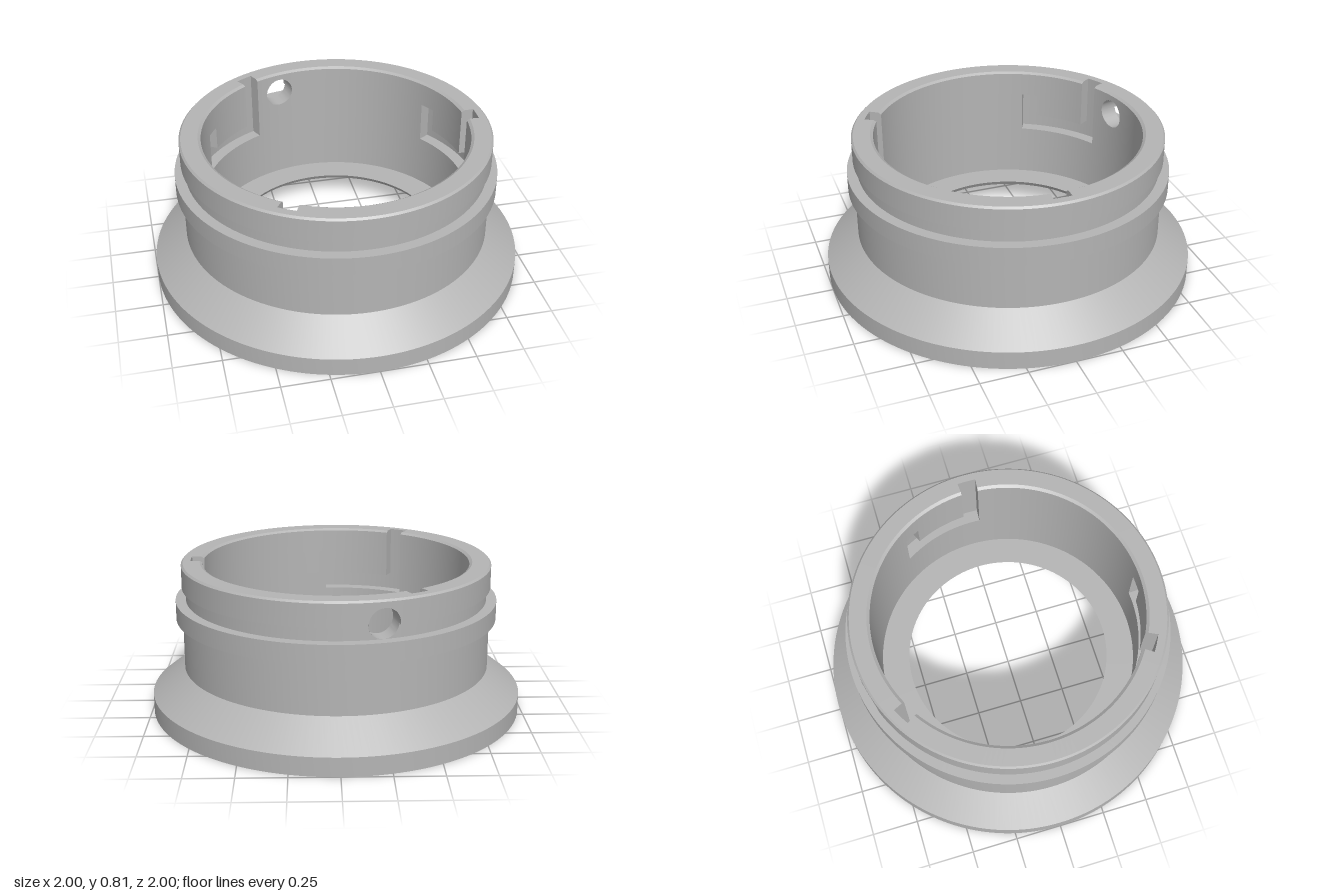
import * as THREE from 'three';
import { toCreasedNormals } from 'three/addons/utils/BufferGeometryUtils.js';

const RAD = Math.PI / 180;
const INNER = 0.71, POCKET = 0.775;           // bore radius, bayonet pocket radius
const HALF = 3.6, TURN = 30;                  // slot half width and twist, degrees
const HOLE = { angle: 255, y: 0.69, r: 0.08 };

const P = (r, a, y) => [r * Math.cos(a * RAD), y, r * Math.sin(a * RAD)];

// Collects quads for one part.
class Quads {
  constructor() { this.pos = []; }
  add(a, b, c, d) { this.pos.push(...a, ...b, ...c, ...a, ...c, ...d); }
  geometry() {
    const g = new THREE.BufferGeometry();
    g.setAttribute('position', new THREE.Float32BufferAttribute(this.pos, 3));
    return toCreasedNormals(g, 0.45);
  }
}

// Half height of the side hole where it meets radius r at angle a.
function holeHalf(r, a) {
  const d = a - HOLE.angle;
  if (Math.abs(d) > 10) return 0;
  const u = r * Math.sin(d * RAD);
  return Math.sqrt(Math.max(0, HOLE.r ** 2 - u ** 2));
}

// Strip of cylindrical wall, cut away where the side hole passes through.
function wall(q, a0, a1, y0, y1, r0, r1, outward) {
  const put = (b0, b1, t0, t1) => {
    if (t0 - b0 < 1e-6 && t1 - b1 < 1e-6) return;
    const c = [P(r0, a0, b0), P(r0, a1, b1), P(r1, a1, t1), P(r1, a0, t0)];
    if (outward) c.reverse();
    q.add(...c);
  };
  const h0 = holeHalf(r0, a0), h1 = holeHalf(r0, a1);
  if (h0 === 0 && h1 === 0) return put(y0, y0, y1, y1);
  const clamp = (y) => Math.min(y1, Math.max(y0, y));
  put(y0, y0, clamp(HOLE.y - h0), clamp(HOLE.y - h1));
  put(clamp(HOLE.y + h0), clamp(HOLE.y + h1), y1, y1);
}

// Column angles: breaks at every slot edge, finer around the hole.
function columnAngles() {
  const out = [];
  for (let k = 0; k < 3; k++) {
    const breaks = [-60, -TURN - HALF, -TURN + HALF, -HALF, HALF, 8, 22, 60];
    for (let i = 0; i + 1 < breaks.length; i++) {
      const step = k === 2 && breaks[i] === 8 ? 0.25 : 2;
      const n = Math.ceil((breaks[i + 1] - breaks[i]) / step);
      for (let j = 0; j < n; j++) {
        out.push(120 * k + breaks[i] + (breaks[i + 1] - breaks[i]) * j / n);
      }
    }
  }
  out.push(300);
  return out;
}

// Bore rows from floor to rim; each returns [bottom radius, top radius].
const ROWS = [0.16, 0.445, 0.54, 0.67, 0.8, 0.81];
function boreRadii(a, row) {
  const rel = ((a + 180) % 120) - 60;
  const entry = Math.abs(rel) < HALF;
  const notch = Math.abs(rel + TURN) < HALF;
  const channel = rel > -TURN - HALF && rel < HALF;
  if (row === 4) return entry ? [POCKET, POCKET] : [INNER, 0.725];
  const open = (row === 1 && channel) || (row === 2 && (notch || entry)) || (row === 3 && entry);
  return open ? [POCKET, POCKET] : [INNER, INNER];
}

export function createModel() {
  const group = new THREE.Group();
  const grey = new THREE.MeshStandardMaterial({ color: 0xb4b4b4, side: THREE.DoubleSide });
  grey.name = 'plain grey';
  const add = (name, geometry) => {
    const mesh = new THREE.Mesh(geometry, grey);
    mesh.name = name;
    group.add(mesh);
  };

  // Floor, hollow flared skirt, barrel and raised outer ring
  const profile = [
    [INNER, 0.16], [0.56, 0.16], [0.575, 0.135], [0.828, 0.135], [1, 0], [1, 0.1],
    [0.825, 0.237], [0.825, 0.51], [0.86, 0.51], [0.86, 0.61], [0.805, 0.61],
  ].map(([r, y]) => new THREE.Vector2(r, y));
  add('flaredBase', toCreasedNormals(new THREE.LatheGeometry(profile, 180), 0.45));

  const bore = new Quads(), collar = new Quads(), rim = new Quads(), port = new Quads();
  const angles = columnAngles();
  for (let i = 0; i + 1 < angles.length; i++) {
    const a0 = angles[i], a1 = angles[i + 1], mid = (a0 + a1) / 2;
    const next = i + 2 < angles.length ? (a1 + angles[i + 2]) / 2 : -59;

    // Bore wall with three hooked bayonet slots
    for (let row = 0; row < 5; row++) {
      const y0 = ROWS[row], y1 = ROWS[row + 1];
      const [rb, rt] = boreRadii(mid, row), [nb, nt] = boreRadii(next, row);
      wall(bore, a0, a1, y0, y1, rb, rt, false);
      if (rb !== nb) bore.add(P(rb, a1, y0), P(nb, a1, y0), P(nt, a1, y1), P(rt, a1, y1));
      if (row < 4) {
        const up = boreRadii(mid, row + 1)[0];
        if (up !== rt) bore.add(P(rt, a0, y1), P(rt, a1, y1), P(up, a1, y1), P(up, a0, y1));
      }
    }

    // Rim face
    const top = boreRadii(mid, 4)[1];
    rim.add(P(top, a0, 0.81), P(top, a1, 0.81), P(0.815, a1, 0.81), P(0.815, a0, 0.81));

    // Outer groove, ledge, band and chamfer
    wall(collar, a0, a1, 0.61, 0.68, 0.805, 0.805, true);
    wall(collar, a0, a1, 0.68, 0.8, 0.825, 0.825, true);
    wall(collar, a0, a1, 0.8, 0.81, 0.825, 0.815, true);
    if (holeHalf(0.815, mid) < 0.01) {
      collar.add(P(0.805, a0, 0.68), P(0.825, a0, 0.68), P(0.825, a1, 0.68), P(0.805, a1, 0.68));
    }
  }

  // Lining of the round side hole
  const n = 48;
  const onHole = (t, r) => P(r, HOLE.angle + Math.asin(HOLE.r * Math.cos(t) / r) / RAD, HOLE.y + HOLE.r * Math.sin(t));
  for (let i = 0; i < n; i++) {
    const t0 = i / n * Math.PI * 2, t1 = (i + 1) / n * Math.PI * 2;
    const outer = HOLE.y + HOLE.r * Math.sin((t0 + t1) / 2) > 0.68 ? 0.825 : 0.805;
    port.add(onHole(t0, INNER), onHole(t1, INNER), onHole(t1, outer), onHole(t0, outer));
  }

  add('boreWithSlots', bore.geometry());
  add('outerCollar', collar.geometry());
  add('topRim', rim.geometry());
  add('sideHole', port.geometry());
  return group;
}
